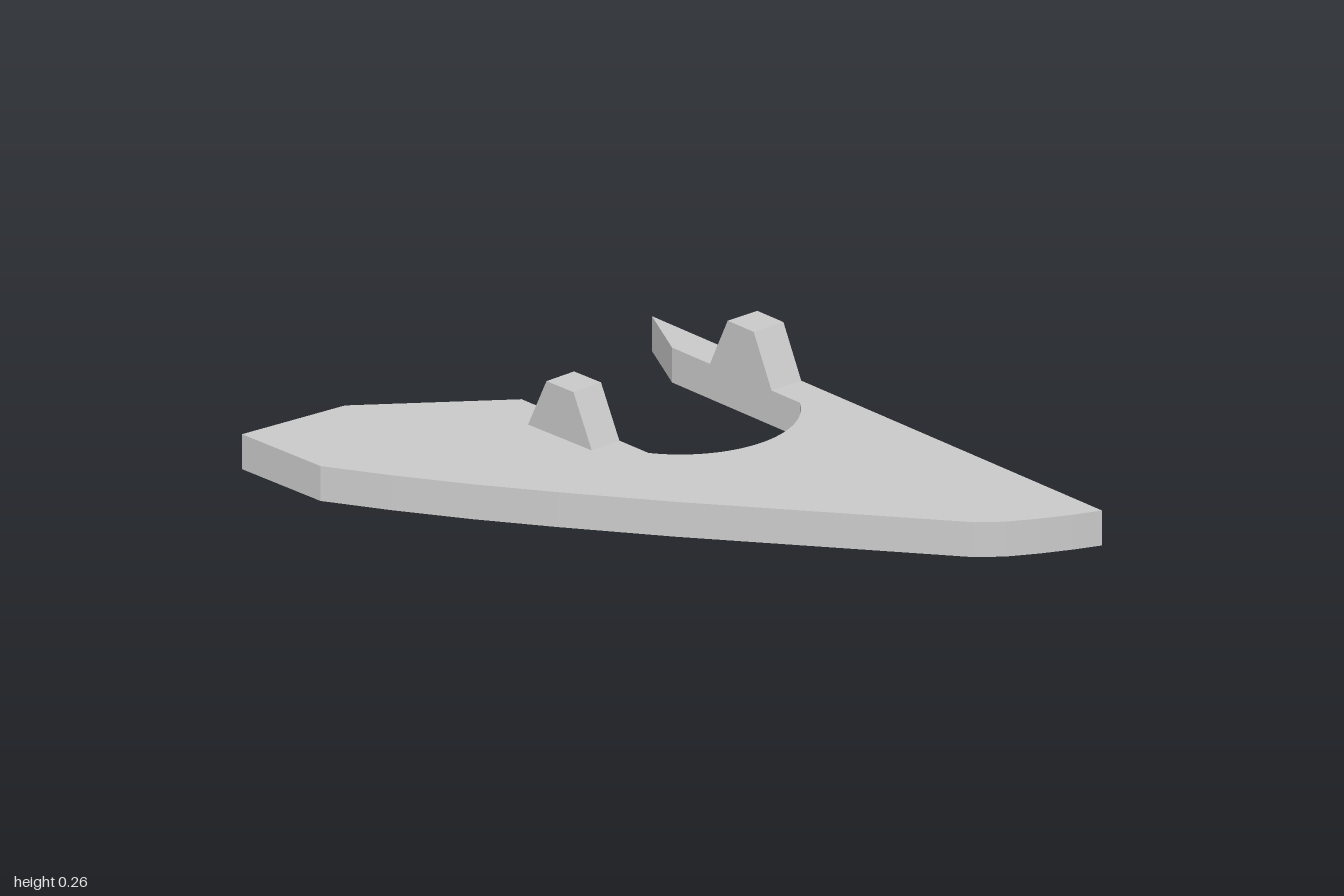
import * as THREE from 'three';

const material = new THREE.MeshStandardMaterial({ color: 0xcccccc, flatShading: true });
const PLATE = 0.105; // plate thickness

// Flat plate: outline given as [x, z], with a round notch between two arms
function makePlate() {
  const shape = new THREE.Shape();
  const line = (pts) => pts.forEach(([x, z]) => shape.lineTo(x, -z));
  shape.moveTo(-0.9, 0.715);
  // upper arm, inner edge
  line([[-0.69, -0.605], [-0.15, -0.605]]);
  // round end of the notch
  const r = 0.336, a = Math.asin(0.28 / r);
  shape.absarc(-r, 0.325, r, a, -a, true);
  // lower arm and blunt tip
  line([[-0.15, -0.045], [-0.68, -0.04], [-0.97, 0.36], [-1, 0.715], [-0.68, 0.705]]);
  // gently bowed long edge
  line([[-0.5, 0.602], [-0.3, 0.475], [-0.1, 0.335], [0.17, 0.135], [0.4, -0.048], [0.83, -0.39]]);
  // curved nose up to the straight back edge
  line([[0.885, -0.46], [0.93, -0.545], [0.97, -0.635], [1, -0.715]]);
  shape.closePath();

  const geometry = new THREE.ExtrudeGeometry(shape, { depth: PLATE, bevelEnabled: false, curveSegments: 16 });
  geometry.rotateX(-Math.PI / 2);
  const mesh = new THREE.Mesh(geometry, material);
  mesh.name = 'plate';
  return mesh;
}

// Tapered tooth standing on an arm
function makeTooth(name, z, depth, turn) {
  const shape = new THREE.Shape([[-0.13, 0], [0.13, 0], [0.055, 0.153], [-0.055, 0.153]]
    .map(([x, y]) => new THREE.Vector2(x, y)));
  const geometry = new THREE.ExtrudeGeometry(shape, { depth, bevelEnabled: false });
  geometry.translate(0, 0, -depth / 2);
  const mesh = new THREE.Mesh(geometry, material);
  mesh.position.set(-0.4, PLATE, z);
  mesh.rotation.y = turn;
  mesh.name = name;
  return mesh;
}

export function createModel() {
  const group = new THREE.Group();
  group.name = 'notchedPlate';
  group.add(
    makePlate(),
    makeTooth('frontTooth', 0.013, 0.105, 0.03),
    makeTooth('backTooth', -0.66, 0.11, 0),
  );
  return group;
}
